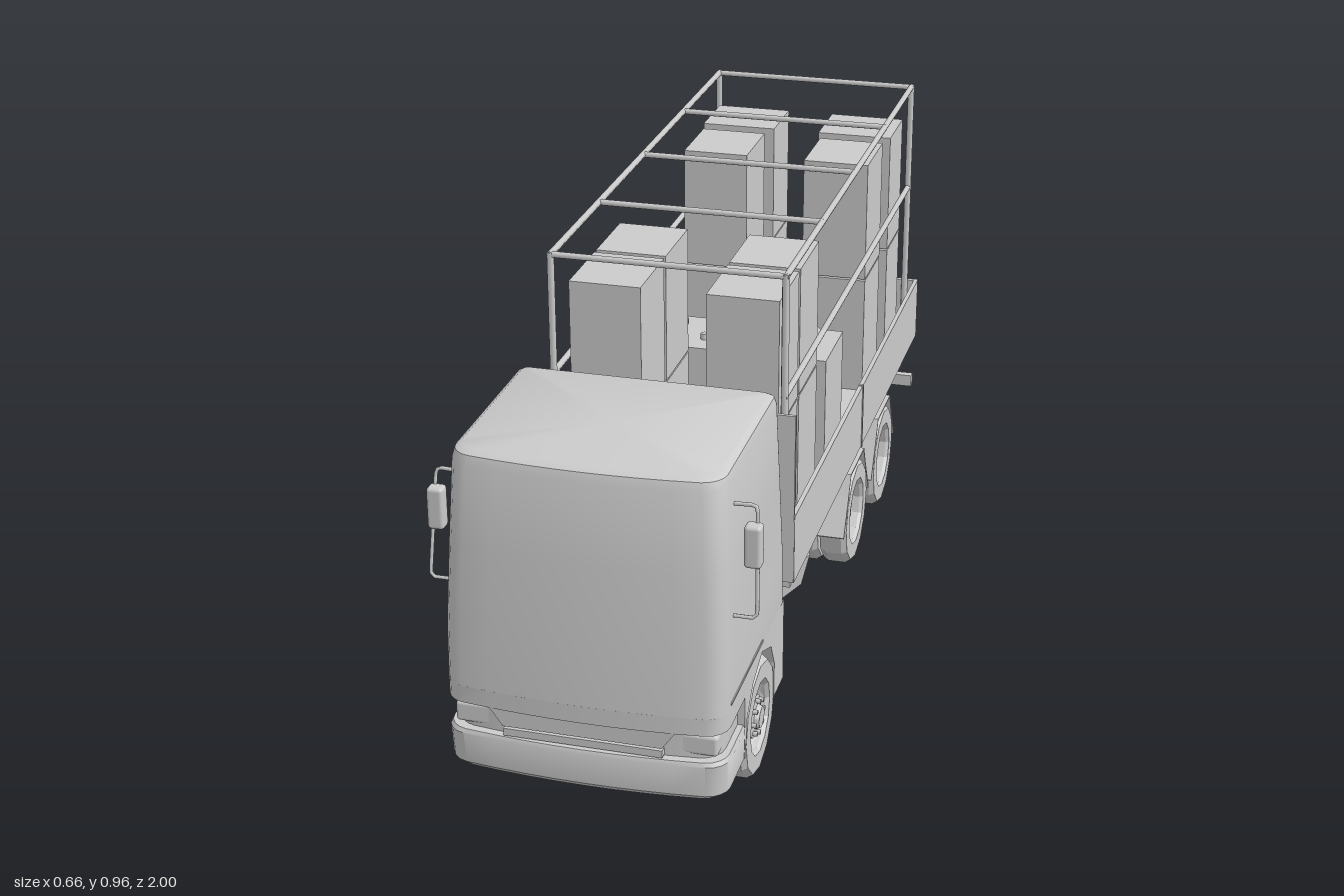
import * as THREE from 'three';
import { toCreasedNormals } from 'three/addons/utils/BufferGeometryUtils.js';
import { RoundedBoxGeometry } from 'three/addons/geometries/RoundedBoxGeometry.js';

const mat = new THREE.MeshStandardMaterial({ color: 0xcccccc });
const flat = new THREE.MeshStandardMaterial({ color: 0xcccccc, flatShading: true, side: THREE.DoubleSide });
const V = (x, y, z) => new THREE.Vector3(x, y, z);

export function createModel() {
  const root = new THREE.Group();
  root.name = 'stageTruck';

  const add = (name, geo, m = mat, parent = root) => {
    const mesh = new THREE.Mesh(geo, m);
    mesh.name = name;
    parent.add(mesh);
    return mesh;
  };
  // Box from its min and max on each axis
  const box = (name, x0, x1, y0, y1, z0, z1, r = 0) => {
    const s = [x1 - x0, y1 - y0, z1 - z0];
    const mesh = add(name, r ? new RoundedBoxGeometry(...s, 2, r) : new THREE.BoxGeometry(...s));
    mesh.position.set((x0 + x1) / 2, (y0 + y1) / 2, (z0 + z1) / 2);
    return mesh;
  };
  // Round bar between two points
  const bar = (name, a, b, r = 0.007, sides = 8) => {
    const d = b.clone().sub(a);
    const mesh = add(name, new THREE.CylinderGeometry(r, r, d.length(), sides));
    mesh.position.copy(a).addScaledVector(d, 0.5);
    mesh.quaternion.setFromUnitVectors(V(0, 1, 0), d.normalize());
    return mesh;
  };
  // Side profile in (z, y), extruded across x0..x1
  const profile = (name, pts, x0, x1) => {
    const shape = new THREE.Shape(pts.map(p => new THREE.Vector2(...p)));
    const geo = new THREE.ExtrudeGeometry(shape, { depth: x1 - x0, bevelEnabled: false });
    geo.rotateY(-Math.PI / 2).translate(x1, 0, 0);
    return add(name, geo);
  };
  // Rounded plan section: half width w, front zf, back zb, bowed front
  const section = ([y, w, zf, zb], rf, rb) => {
    const pts = [];
    const front = (x, z) => pts.push([x, y, z - 0.02 * (x / w) ** 2]);
    for (let i = 1; i < 8; i++) front((w - rf) * (i / 4 - 1), zf);
    const arc = (sx, sz, r, q) => {
      for (let i = 0; i <= 4; i++) {
        const t = (q + i / 4) * Math.PI / 2;
        const x = sx * (w - r) + r * Math.sin(t);
        const z = (sz > 0 ? zf - r : zb + r) + r * Math.cos(t);
        sz > 0 ? front(x, z) : pts.push([x, y, z]);
      }
    };
    arc(1, 1, rf, 0); arc(1, -1, rb, 1); arc(-1, -1, rb, 2); arc(-1, 1, rf, 3);
    return pts;
  };
  const loft = (name, rows, rf = 0.04, rb = 0.012) => {
    const rings = rows.map(r => section(r, rf, rb));
    const n = rings[0].length, last = rings.length - 1, idx = [];
    const verts = rings.flat();
    for (const k of [0, last]) verts.push([0, rows[k][0], (rows[k][2] + rows[k][3]) / 2]);
    for (let i = 0; i < n; i++) {
      const j = (i + 1) % n;
      for (let k = 0; k < last; k++) {
        const a = k * n + i, b = k * n + j;
        idx.push(a, b, b + n, a, b + n, a + n);
      }
      idx.push(verts.length - 2, j, i, verts.length - 1, last * n + i, last * n + j);
    }
    const geo = new THREE.BufferGeometry();
    geo.setAttribute('position', new THREE.Float32BufferAttribute(verts.flat(), 3));
    geo.setIndex(idx);
    return add(name, toCreasedNormals(geo, 0.6));
  };

  // Cab
  loft('cabShell', [[0.285, 0.283, 1, 0.507], [0.4, 0.283, 0.995, 0.51], [0.58, 0.276, 0.98, 0.515],
    [0.745, 0.269, 0.963, 0.52], [0.762, 0.265, 0.957, 0.525], [0.77, 0.254, 0.945, 0.535]]);
  loft('cabBrow', [[0.25, 0.283, 1, 0.8], [0.287, 0.283, 1, 0.8]]);
  loft('lightRecess', [[0.18, 0.268, 0.98, 0.815], [0.252, 0.268, 0.98, 0.815]]);
  loft('frontBumper', [[0.1, 0.272, 0.985, 0.82], [0.112, 0.282, 0.995, 0.82],
    [0.18, 0.284, 1, 0.82], [0.188, 0.28, 0.996, 0.82]]);
  profile('wheelArchPanel', [[0.505, 0.11], [0.585, 0.11], [0.585, 0.19], [0.615, 0.245], [0.69, 0.275],
    [0.765, 0.245], [0.815, 0.19], [0.82, 0.11], [0.83, 0.11], [0.83, 0.295], [0.505, 0.295]], -0.283, 0.283);
  box('cabFloor', -0.2, 0.2, 0.11, 0.29, 0.51, 0.85);
  const grille = new THREE.Shape([[-0.16, 0.212], [0.16, 0.212], [0.19, 0.255], [-0.19, 0.255]]
    .map(p => new THREE.Vector2(...p)));
  add('grillePanel', new THREE.ExtrudeGeometry(grille, { depth: 0.03, bevelEnabled: false }))
    .position.z = 0.96;
  box('grilleSlat', -0.16, 0.16, 0.19, 0.206, 0.96, 0.988);
  for (const s of [-1, 1]) {
    box('headlight', s * 0.225 - 0.04, s * 0.225 + 0.04, 0.195, 0.24, 0.9, 0.969, 0.008);
    box('sideTrim', s * 0.282 - 0.003, s * 0.282 + 0.003, 0.298, 0.303, 0.69, 0.94);
    // Mirror and its bracket
    const pts = [[0.262, 0.693, 0.875], [0.31, 0.695, 0.875], [0.317, 0.685, 0.877],
      [0.325, 0.488, 0.908], [0.318, 0.477, 0.91], [0.275, 0.477, 0.91]];
    const path = new THREE.CatmullRomCurve3(pts.map(p => V(s * p[0], p[1], p[2])), false, 'catmullrom', 0.1);
    add('mirrorBracket', new THREE.TubeGeometry(path, 30, 0.004, 6), mat);
    box('mirror', s * 0.313 - 0.017, s * 0.313 + 0.017, 0.575, 0.663, 0.874, 0.905, 0.008);
  }

  // Equipment behind the cab
  box('rearCabBlock', -0.25, 0.25, 0.12, 0.245, 0.405, 0.503, 0.012);
  box('airIntake', -0.165, 0.165, 0.245, 0.49, 0.43, 0.5);

  // Chassis
  for (const s of [-1, 1]) {
    profile('chassisRail', [[0.55, 0.21], [-0.7, 0.21], [-0.9, 0.225], [-0.95, 0.2], [-0.97, 0.15],
      [-0.975, 0.15], [-0.97, 0.265], [0.55, 0.265]], s * 0.11 - 0.012, s * 0.11 + 0.012);
    for (const z of [-0.26, -0.58]) {
      bar('radiusRod', V(s * 0.1, 0.22, z + 0.17), V(s * 0.03, 0.15, z), 0.01);
      box('axleSpring', s * 0.12 - 0.015, s * 0.12 + 0.015, 0.15, 0.225, z - 0.03, z + 0.03);
    }
    box('bumperBracket', s * 0.11 - 0.012, s * 0.11 + 0.012, 0.15, 0.23, -0.968, -0.945);
  }
  for (const z of [0.3, 0, -0.42, -0.74, -0.93]) box('chassisCrossMember', -0.11, 0.11, 0.215, 0.255, z - 0.012, z + 0.012);
  box('rearBumperBar', -0.28, 0.28, 0.152, 0.182, -0.975, -0.955);
  bar('driveShaft', V(0, 0.16, 0.5), V(0, 0.13, -0.58), 0.014, 10);

  // Fuel tank with straps, and tapered box on the opposite side
  box('fuelTank', -0.27, -0.125, 0.125, 0.235, -0.01, 0.325, 0.015);
  for (const z of [0.06, 0.16, 0.26]) box('tankStrap', -0.273, -0.122, 0.122, 0.238, z - 0.007, z + 0.007);
  const side = add('batteryBox', new THREE.CylinderGeometry(0.12, 0.09, 0.075, 6), flat);
  side.scale.z = 0.6;
  side.rotation.y = Math.PI / 2;
  side.position.set(0.195, 0.198, 0.19);

  // Wheels: faceted tyre, dished rim and hub; local +y points outward
  const tyre = (w) => new THREE.LatheGeometry([[0.07, -w], [0.117, -w], [0.125, -w + 0.012], [0.125, w - 0.012],
    [0.117, w], [0.08, w], [0.075, w - 0.008], [0.07, -w]].map(p => new THREE.Vector2(...p)), 12);
  const wheel = (name, s, x, z, w, dish) => {
    const g = new THREE.Group();
    g.name = name;
    g.position.set(s * x, 0.126, z);
    g.rotation.z = -s * Math.PI / 2;
    root.add(g);
    add('tyre', tyre(w), flat, g);
    const rim = [[0.078, w - 0.004], [0.068, w - dish], [0.05, w - dish], [0.045, w - dish + 0.015],
      [0.026, w - dish + 0.018], [0.022, w - dish + 0.028], [0, w - dish + 0.028]];
    const rimMat = mat.clone();
    rimMat.side = THREE.DoubleSide;
    add('rim', toCreasedNormals(new THREE.LatheGeometry(rim.map(p => new THREE.Vector2(...p)), 24), 0.5), rimMat, g);
    for (let i = 0; i < 8; i++) {
      const a = i * Math.PI / 4;
      add('wheelNut', new THREE.CylinderGeometry(0.005, 0.005, 0.012, 6), mat, g)
        .position.set(0.036 * Math.cos(a), w - dish + 0.02, 0.036 * Math.sin(a));
    }
  };
  for (const s of [-1, 1]) {
    wheel('frontWheel', s, 0.248, 0.694, 0.033, 0.025);
    for (const z of [-0.26, -0.58]) {
      wheel('rearOuterWheel', s, 0.248, z, 0.032, 0.045);
      wheel('rearInnerWheel', s, 0.179, z, 0.032, 0.045);
      // Folded mudguard: thin strip following an angular arch
      const arch = [[-0.145, 0.12], [-0.098, 0.205], [-0.075, 0.252], [0.075, 0.252], [0.098, 0.205], [0.145, 0.12]];
      const outer = arch.map(([a, y]) => [z + a, y + 0.004]);
      profile('mudguard', [...outer, ...arch.map(([a, y]) => [z + a * 0.97, y]).reverse()],
        s * 0.212 - 0.068, s * 0.212 + 0.068);
    }
  }
  for (const z of [0.694, -0.26, -0.58]) {
    bar('axle', V(-0.24, 0.128, z), V(0.24, 0.128, z), 0.02, 12);
    if (z < 0) {
      const diff = add('differential', new THREE.SphereGeometry(0.05, 16, 12));
      diff.position.set(0, 0.13, z);
    }
  }

  // Load bed
  box('bedFloor', -0.278, 0.278, 0.282, 0.3, -0.993, 0.405);
  for (const s of [-1, 1]) {
    box('sideBoard', s * 0.276 - 0.005, s * 0.276 + 0.005, 0.282, 0.436, -0.995, 0.407);
    box('sideBoardPost', s * 0.277 - 0.006, s * 0.277 + 0.006, 0.279, 0.438, -0.296, -0.288);
  }
  box('tailBoard', -0.28, 0.28, 0.282, 0.436, -1, -0.988);
  box('headBoard', -0.28, 0.28, 0.282, 0.665, 0.4, 0.408);
  for (const z of [0.385, -0.085, -0.29, -0.495, -0.94]) box('bedBearer', -0.27, 0.27, 0.262, 0.284, z - 0.009, z + 0.009);

  // Railing frame
  const zs = [0.372, 0.04, -0.3, -0.645, -0.985];
  for (const s of [-1, 1]) {
    for (const z of [zs[0], zs[4]]) bar('railPost', V(s * 0.248, 0.3, z), V(s * 0.248, 0.957, z), 0.008);
    for (const y of [0.69, 0.953]) bar('sideRail', V(s * 0.248, y, 0.378), V(s * 0.248, y, -0.991));
  }
  for (const z of zs) bar('crossRail', V(-0.25, 0.953, z), V(0.25, 0.953, z));

  // Speaker stacks, two cabinets high
  const stacks = [[0.152, 0.328, 0.225, 0.07], [-0.038, 0.138, 0.225, 0.07],
    [-0.745, -0.567, 0.225, 0.07], [-0.945, -0.787, 0.236, 0.056]];
  for (const s of [-1, 1]) for (const [z0, z1, xo, xi] of stacks) for (const y of [0.3, 0.592]) {
    const x = [s * xo, s * xi].sort((a, b) => a - b);
    box('speaker', x[0], x[1], y, y + 0.288, z0, z1);
  }

  // Music desk with turntables and mixer knobs
  box('desk', -0.24, 0.24, 0.3, 0.587, -0.245, -0.065);
  for (const s of [-1, 1]) [[0.05, 0.012, 0.606], [0.04, 0.03, 0.598]].forEach(([r, h, y], i) => {
    add(i ? 'turntableBase' : 'turntablePlatter', new THREE.CylinderGeometry(r, r, h, 28)).position.set(s * 0.155, y, -0.165);
  });
  const knob = (x, z) => add('mixerKnob', new THREE.CylinderGeometry(0.008, 0.008, 0.014, 10)).position.set(x, 0.594, z);
  for (let i = 0; i < 4; i++) for (let j = 0; j < 3; j++) knob(-0.03 + i * 0.026, -0.168 + j * 0.023);
  knob(-0.056, -0.122);

  return root;
}
